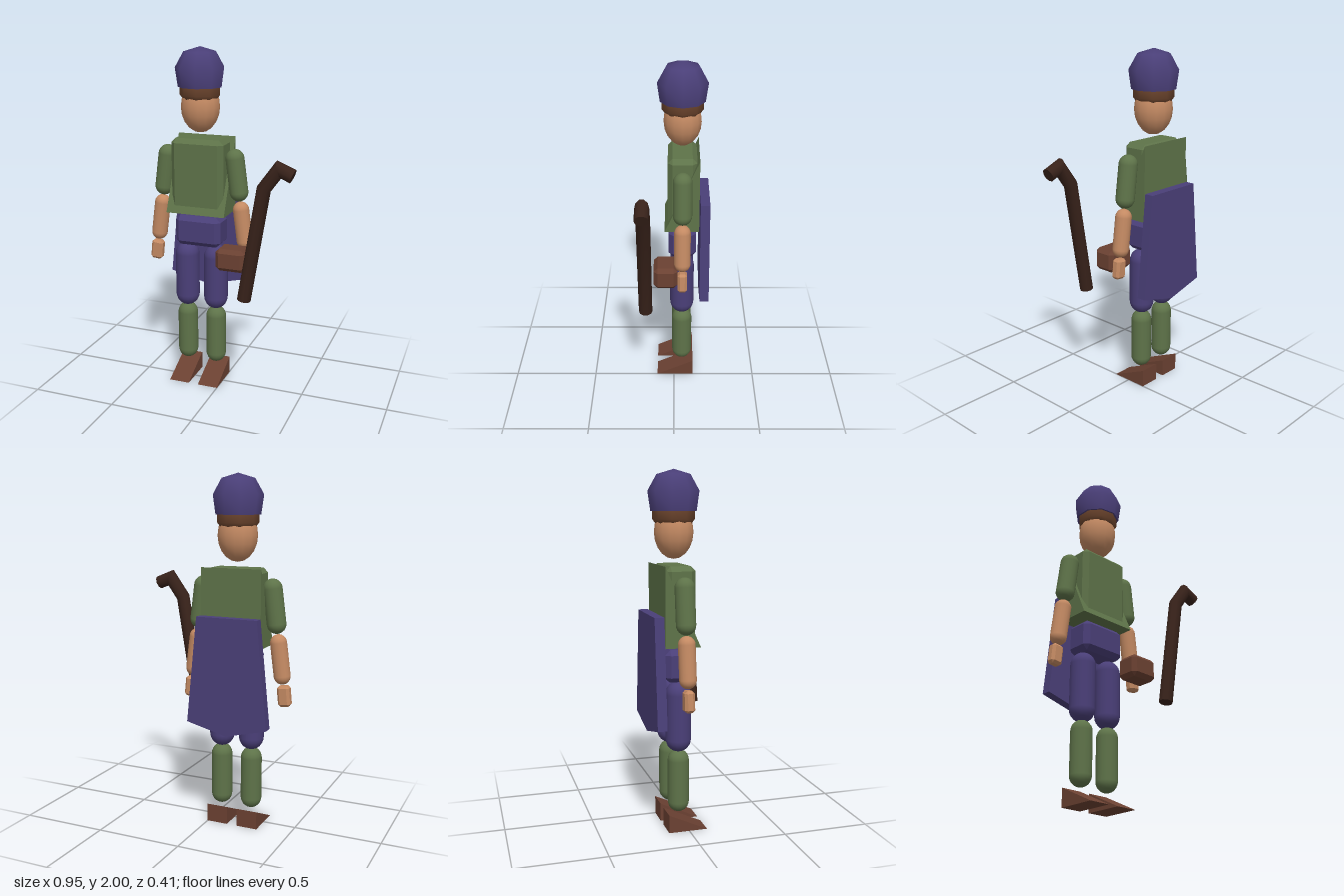
import * as THREE from 'three';
import { toCreasedNormals } from 'three/addons/utils/BufferGeometryUtils.js';
import { ConvexGeometry } from 'three/addons/geometries/ConvexGeometry.js';

const CX = -0.153, CZ = -0.048; // body axis

const colors = {
  purple: 0x4a3f78, green: 0x5e7349, skin: 0xc48a63,
  leather: 0x6b4132, hair: 0x70472f, wood: 0x38221a,
};
const mats = {};
for (const k in colors) mats[k] = new THREE.MeshStandardMaterial({ color: colors[k] });

// Box with all edges cut at 45 degrees
function chamferBox(w, h, d, c) {
  const pts = [];
  for (const sx of [-1, 1]) for (const sy of [-1, 1]) for (const sz of [-1, 1]) {
    const x = w / 2, y = h / 2, z = d / 2;
    for (const [a, b, e] of [[0, c, c], [c, 0, c], [c, c, 0]]) {
      pts.push(new THREE.Vector3(sx * (x - a), sy * (y - b), sz * (z - e)));
    }
  }
  return new ConvexGeometry(pts);
}

// Side profile of [z, y] points, extruded across x
function sideExtrude(pts, width) {
  const shape = new THREE.Shape(pts.map(([z, y]) => new THREE.Vector2(-z, y)));
  const g = new THREE.ExtrudeGeometry(shape, { depth: width, bevelEnabled: false });
  return g.translate(0, 0, -width / 2).rotateY(Math.PI / 2);
}

// Nine-sided turned part
function turned(pts) {
  const profile = pts.map(([r, y]) => new THREE.Vector2(r, y));
  return toCreasedNormals(new THREE.LatheGeometry(profile, 9).rotateY(Math.PI / 2), 1.0);
}

// Bent rod: cylinder rings moved onto a path in the xy plane, with mitred joints
function bentRod(path, r) {
  const n = path.length - 1;
  const p = path.map(([x, y]) => new THREE.Vector2(x, y));
  const mitre = p.map((q, i) => {
    const a = q.clone().sub(p[Math.max(i - 1, 0)]).normalize();
    const b = p[Math.min(i + 1, n)].clone().sub(q).normalize();
    const t = a.clone().add(b).normalize();
    const k = 1 / t.dot(i === 0 ? b : a);
    return new THREE.Vector2(t.y * k, -t.x * k);
  });
  const g = new THREE.CylinderGeometry(r, r, 1, 10, n);
  const pos = g.attributes.position;
  for (let v = 0; v < pos.count; v++) {
    const i = Math.round((pos.getY(v) + 0.5) * n);
    const q = p[i].clone().addScaledVector(mitre[i], pos.getX(v));
    pos.setXY(v, q.x, q.y);
  }
  return toCreasedNormals(g, 0.9);
}

export function createModel() {
  const model = new THREE.Group();
  model.name = 'figure';
  const body = new THREE.Group();
  body.name = 'body';
  body.position.set(CX, 0, CZ);
  model.add(body);

  function add(parent, name, geometry, mat, x = 0, y = 0, z = 0, tilt = 0) {
    const mesh = new THREE.Mesh(geometry, mats[mat]);
    mesh.name = name;
    mesh.position.set(x, y, z);
    mesh.rotation.z = tilt;
    parent.add(mesh);
    return mesh;
  }
  // Capsule given by radius and total length
  const capsule = (r, len) => new THREE.CapsuleGeometry(r, len - 2 * r, 6, 16);

  // Head
  const head = new THREE.SphereGeometry(0.112, 14, 10);
  head.scale(1, 1.3, 0.96);
  add(body, 'head', head, 'skin', 0, 1.666, 0);
  add(body, 'hair', turned([[0, 1.70], [0.1, 1.712], [0.117, 1.735], [0.117, 1.79], [0, 1.8]]), 'hair');
  add(body, 'cap', turned([[0, 1.778], [0.127, 1.778], [0.142, 1.885], [0.093, 1.972], [0, 2]]), 'purple');

  // Torso and hips
  add(body, 'torso', chamferBox(0.318, 0.43, 0.166, 0.027), 'green', 0, 1.275, 0);
  add(body, 'tunic', sideExtrude([[-0.096, 1.055], [-0.096, 1.492], [0.102, 1.055]], 0.356), 'green');
  add(body, 'hips', chamferBox(0.28, 0.18, 0.162, 0.028), 'purple', 0, 0.945, 0);

  // Cape
  const capeShape = new THREE.Shape([[-0.18, 1.225], [-0.24, 0.62], [0, 0.56], [0.24, 0.62], [0.18, 1.225]]
    .map(([x, y]) => new THREE.Vector2(x, y)));
  const cape = new THREE.ExtrudeGeometry(capeShape, { depth: 0.054, bevelEnabled: false });
  add(body, 'cape', cape, 'purple', 0, 0, -0.157);

  // Arms and legs, mirrored
  for (const [side, s] of [['left', 1], ['right', -1]]) {
    const part = (name, g, mat, x, y, tilt = 0) => add(body, side + name, g, mat, s * x, y, 0, s * tilt);
    part('UpperArm', capsule(0.054, 0.305), 'green', 0.221, 1.286, 0.13);
    part('Forearm', capsule(0.047, 0.282), 'skin', 0.259, 0.993, 0.13);
    part('Hand', chamferBox(0.072, 0.118, 0.056, 0.014), 'skin', 0.286, 0.788, 0.1);
    part('Thigh', capsule(0.071, 0.4), 'purple', 0.091, 0.656);
    part('Shin', capsule(0.06, 0.362), 'green', 0.092, 0.285);
    part('Shoe', sideExtrude([[-0.07, 0], [-0.07, 0.104], [0.153, 0]], 0.124), 'leather', 0.092, 0);
  }

  // Belt pouch and crooked staff
  add(model, 'pouch', chamferBox(0.178, 0.132, 0.138, 0.023), 'leather', 0.079, 0.819, 0.048);
  add(model, 'staff', bentRod([[0.188, 0.621], [0.296, 1.277], [0.378, 1.39], [0.456, 1.358]], 0.039), 'wood', 0, 0, 0.164);

  return model;
}
